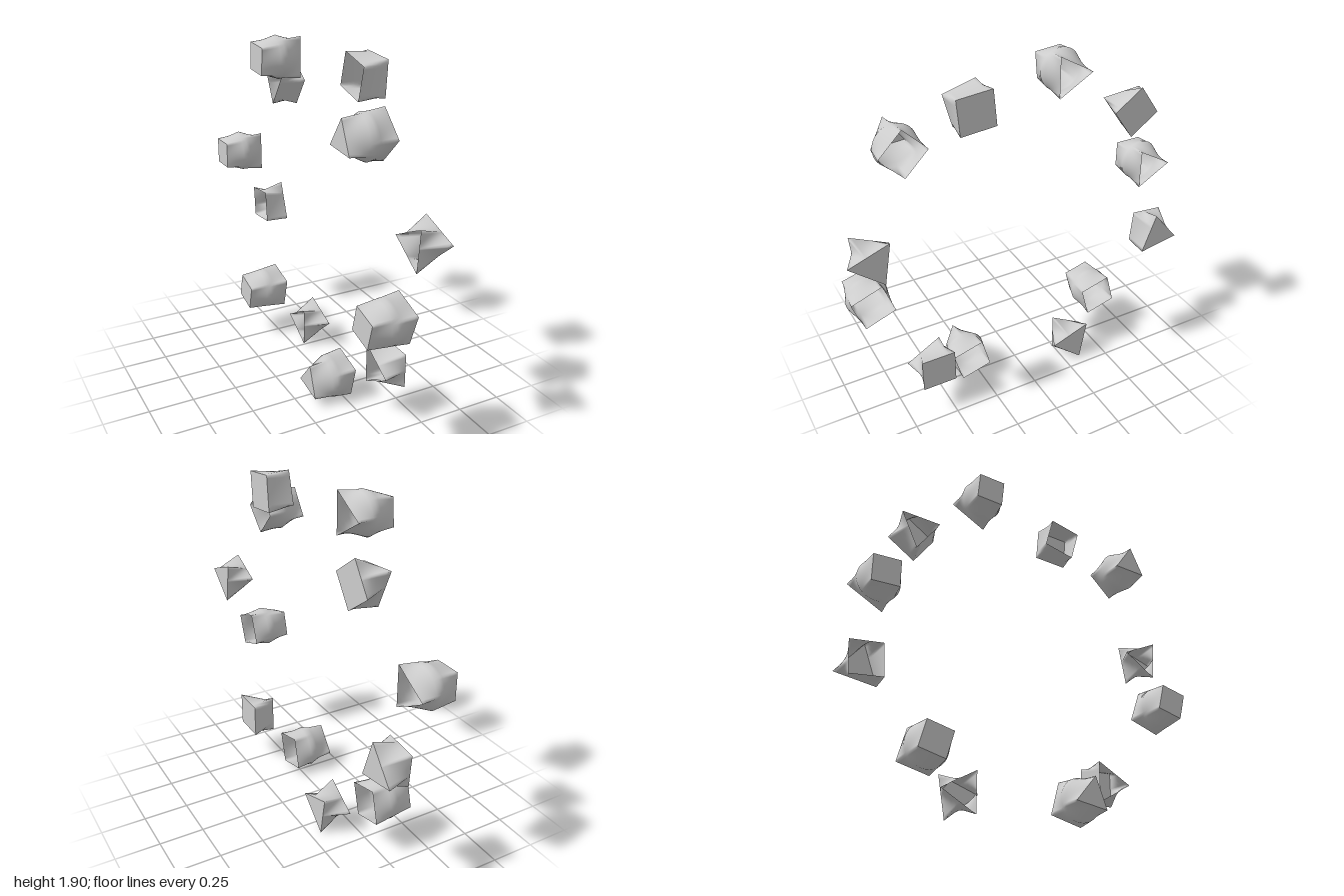
import * as THREE from 'three';

const TAU = Math.PI * 2;
const rad = THREE.MathUtils.degToRad;
const SEGMENTS = 72;

// Distance from the centre to the edge of a regular polygon
function polygonRadius({ sides, turn, radius }, angle) {
  if (!sides) return radius;
  const step = TAU / sides;
  const a = THREE.MathUtils.euclideanModulo(angle - rad(turn) + 1e-7, step) - step / 2;
  return radius * Math.cos(step / 2) / Math.cos(a);
}

// Open shell that blends between cross-sections, listed by rising x
function loft(sections, stepsPerSpan) {
  const pos = [], index = [];
  let rings = 0;
  for (let s = 0; s < sections.length - 1; s++) {
    const a = sections[s], b = sections[s + 1];
    for (let k = s ? 1 : 0; k <= stepsPerSpan; k++, rings++) {
      const t = k / stepsPerSpan;
      for (let j = 0; j < SEGMENTS; j++) {
        const angle = (j / SEGMENTS) * TAU;
        const r = THREE.MathUtils.lerp(polygonRadius(a, angle), polygonRadius(b, angle), t);
        pos.push(THREE.MathUtils.lerp(a.x, b.x, t), r * Math.sin(angle), -r * Math.cos(angle));
      }
    }
  }
  for (let i = 0; i < rings - 1; i++) {
    for (let j = 0; j < SEGMENTS; j++) {
      const n = (j + 1) % SEGMENTS;
      const a = i * SEGMENTS + j, b = i * SEGMENTS + n;
      index.push(a, b, a + SEGMENTS, b, b + SEGMENTS, a + SEGMENTS);
    }
  }
  const geo = new THREE.BufferGeometry();
  geo.setAttribute('position', new THREE.Float32BufferAttribute(pos, 3));
  geo.setIndex(index);
  geo.computeVertexNormals();
  return geo;
}

// Flat polygon closing one end of a shell
function cap({ sides, turn, radius, x }) {
  const geo = new THREE.CircleGeometry(radius, sides, rad(turn));
  geo.rotateY(Math.PI / 2);
  geo.translate(x, 0, 0);
  return geo;
}

// Cups: position, then [sides, turn] of the open mouth and of the closed end
const longCups = [
  { z: 0.62, y: 1.575, mouth: [4, 0], end: [3, 95] },
  { z: 0.85, y: 0.735, mouth: [4, 65], end: [4, 60] },
  { z: 0.30, y: 0.13, mouth: [4, 60], end: [3, 100] },
  { z: -0.56, y: 0.29, mouth: [4, 60], end: [4, 60] },
  { z: -0.865, y: 1.11, mouth: [3, 0], end: [4, 45] },
  { z: -0.305, y: 1.785, mouth: [3, 0], end: [4, 50] },
];
const shortCups = [
  { z: 0.30, y: 1.78, mouth: [4, 60], end: [4, 50] },
  { z: 0.865, y: 1.105, mouth: [3, 5], end: [3, 50] },
  { z: 0.57, y: 0.29, mouth: [3, 60], end: [4, 45] },
  { z: -0.30, y: 0.135, mouth: [3, 0], end: [3, 50] },
  { z: -0.855, y: 0.735, mouth: [4, 40], end: [3, 100] },
  { z: -0.62, y: 1.575, mouth: [3, 35], end: [4, 80] },
];

export function createModel() {
  const group = new THREE.Group();
  const paleGrey = new THREE.MeshStandardMaterial({ color: 0xcccccc, side: THREE.DoubleSide });
  paleGrey.name = 'pale grey';

  function addCup(name, { y, z }, sections, end, steps) {
    const cup = new THREE.Group();
    cup.name = name;
    const shell = new THREE.Mesh(loft(sections, steps), paleGrey);
    shell.name = 'shell';
    const endCap = new THREE.Mesh(cap(end), paleGrey);
    endCap.name = 'endCap';
    cup.add(shell, endCap);
    cup.position.set(0, y, z);
    group.add(cup);
  }

  // Long barrel cups: closed narrow end at -x, round belly, open mouth
  for (const c of longCups) {
    const end = { sides: c.end[0], turn: c.end[1], radius: 0.105, x: -0.19 };
    const belly = { sides: 0, radius: 0.117, x: -0.07 };
    const mouth = { sides: c.mouth[0], turn: c.mouth[1], radius: 0.13, x: 0.042 };
    addCup('longCup', c, [end, belly, mouth], end, 5);
  }

  // Short cups: open mouth, closed wide end at +x
  for (const c of shortCups) {
    const mouth = { sides: c.mouth[0], turn: c.mouth[1], radius: 0.13, x: 0.05 };
    const end = { sides: c.end[0], turn: c.end[1], radius: 0.137, x: 0.19 };
    addCup('shortCup', c, [mouth, end], end, 6);
  }
  return group;
}
